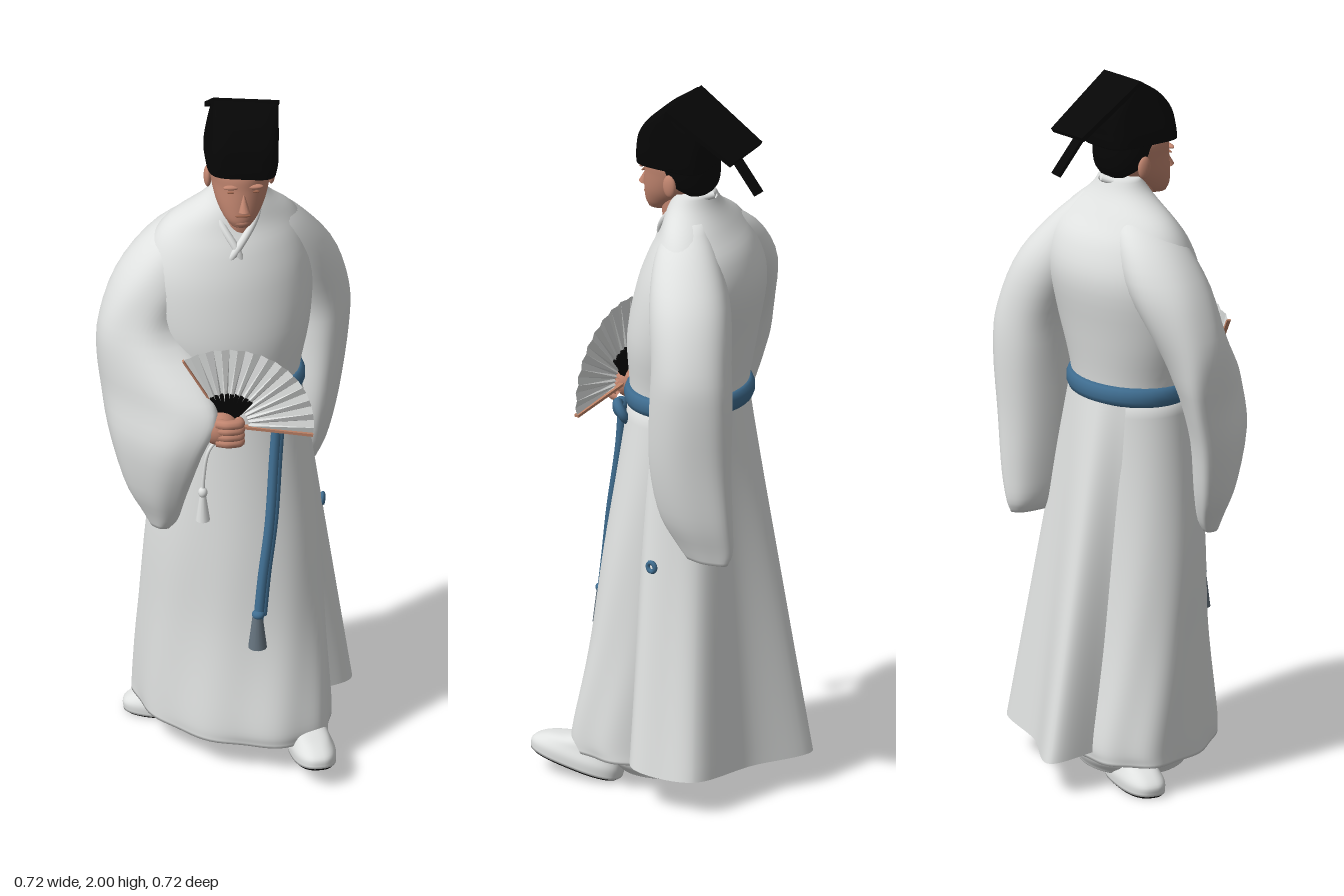
import * as THREE from 'three';

const mat = (name, color, side = THREE.FrontSide) => {
  const m = new THREE.MeshStandardMaterial({ color, side });
  m.name = name;
  return m;
};

// Grid surface from fn(u, v); wraps in u when closed
function surface(fn, nu, nv, closed = false) {
  const pos = [], idx = [], cols = closed ? nu : nu + 1;
  for (let j = 0; j <= nv; j++)
    for (let i = 0; i < cols; i++) pos.push(...fn(i / nu, j / nv, j));
  for (let j = 0; j < nv; j++)
    for (let i = 0; i < nu; i++) {
      const k = (i + 1) % cols, a = j * cols + i, b = j * cols + k;
      idx.push(a, a + cols, b, b, a + cols, b + cols);
    }
  const g = new THREE.BufferGeometry();
  g.setAttribute('position', new THREE.Float32BufferAttribute(pos, 3));
  g.setIndex(idx);
  g.computeVertexNormals();
  return g;
}

// Capped loft through level sections [y, cx, cz, rx, rz, turn], bottom to top
function loft(sections, { n = 2, ripple = null, nu = 48, nv = 32 } = {}) {
  const c = new THREE.CatmullRomCurve3(sections.map(s => new THREE.Vector3(s[1], s[0], s[2])), false, 'catmullrom');
  const r = new THREE.CatmullRomCurve3(sections.map(s => new THREE.Vector3(s[3], s[4], s[5] || 0)), false, 'catmullrom');
  const pw = x => Math.sign(x) * Math.abs(x) ** (2 / n);
  return surface((u, v, j) => {
    const t = THREE.MathUtils.clamp((j - 1) / (nv - 2), 0, 1), a = u * Math.PI * 2;
    const p = c.getPoint(t), q = r.getPoint(t);
    const k = j === 0 || j === nv ? 0 : 1 + (ripple ? ripple(a, t) : 0);
    const e = pw(Math.cos(a)) * q.x * k, f = pw(Math.sin(a)) * q.y * k;
    const cs = Math.cos(q.z), sn = Math.sin(q.z);
    return [p.x + e * cs - f * sn, p.y, p.z + e * sn + f * cs];
  }, nu, nv, true);
}

const curve = pts => new THREE.CatmullRomCurve3(pts.map(p => new THREE.Vector3(...p)));
const tube = (pts, r, closed = false) => {
  const c = curve(pts);
  c.closed = closed;
  return new THREE.TubeGeometry(c, 40, r, 10, closed);
};

export function createModel() {
  const root = new THREE.Group();
  root.name = 'robedFigure';
  const cloth = mat('whiteCloth', 0xe0e2e1, THREE.DoubleSide);
  const skin = mat('skin', 0xc28670);
  const shade = mat('lipsAndBrows', 0xa0674f);
  const black = mat('black', 0x060606, THREE.DoubleSide);
  const blue = mat('blueSash', 0x3f6d90);
  const slate = mat('slateTassel', 0x66747f);
  const wood = mat('fanWood', 0xc08468);
  const add = (name, geo, m, pos = [0, 0, 0], parent = root) => {
    const mesh = new THREE.Mesh(geo, m);
    mesh.name = name;
    mesh.position.set(...pos);
    parent.add(mesh);
    return mesh;
  };
  const ball = (name, m, pos, s) => add(name, new THREE.SphereGeometry(1, 20, 14), m, pos).scale.set(...s);

  // Robe: torso turned toward the rear shoulder, skirt and underskirt
  add('torso', loft([
    [1.06, .018, -.02, .182, .152], [1.16, .015, -.022, .19, .158, -.05], [1.3, .01, -.03, .225, .173, -.15],
    [1.45, .005, -.055, .243, .172, -.24], [1.55, .008, -.062, .225, .142, -.26], [1.62, .012, -.058, .18, .1, -.2],
    [1.68, .028, -.05, .1, .07, -.1], [1.725, .032, -.05, .066, .05]]), cloth);
  add('skirt', loft([
    [.08, .015, .012, .3, .2, .69], [.15, .015, .012, .3, .2, .69], [.4, .015, .005, .268, .187, .5],
    [.7, .015, 0, .237, .177, .3], [1.12, .02, -.02, .185, .155, 0]],
    { nu: 96, ripple: (a, t) => (1 - t) ** 1.5 * .022 * (Math.cos(9 * a) + .5 * Math.sin(5 * a)) }), cloth);
  add('underskirt', loft([
    [.03, .02, -.02, .2, .15, .5], [.08, .02, -.01, .24, .17, .6], [.2, .02, 0, .25, .17, .6]]), cloth);

  // Flared overlapping back panel with crisp corners
  const top = curve([[.195, 1.11, .01], [.207, 1.11, -.04], [.19, 1.11, -.1], [.145, 1.11, -.145], [.07, 1.11, -.175], [-.05, 1.11, -.175], [-.12, 1.11, -.13]]);
  const hem = curve([[.25, .12, .02], [.345, .11, -.045], [.348, .1, -.14], [.32, .1, -.235], [.11, .09, -.282], [-.088, .09, -.36], [-.11, .11, -.2]]);
  add('backPanel', surface((u, v) => top.getPoint(u).lerp(hem.getPoint(u), v).toArray(), 60, 24), cloth);

  // Wide sleeves: left hangs behind, right drapes from a bent forearm
  add('leftSleeve', loft([
    [.72, .225, -.215, .025, .065], [.76, .222, -.205, .042, .09], [.85, .235, -.185, .062, .115],
    [1, .248, -.175, .08, .125], [1.18, .258, -.183, .095, .122], [1.3, .252, -.18, .102, .115],
    [1.45, .205, -.145, .108, .115], [1.57, .15, -.1, .082, .092], [1.66, .1, -.07, .04, .05]],
    { ripple: (a, t) => .03 * (1 - t) * Math.cos(5 * a) }), cloth);
  add('rightSleeve', loft([
    [.72, -.195, .1, .03, .02, .8], [.76, -.195, .1, .06, .035, .8], [.85, -.21, .105, .105, .055, .8],
    [1, -.212, .115, .16, .07, .8], [1.12, -.198, .1, .195, .078, .75], [1.21, -.215, .06, .175, .09, .7],
    [1.33, -.235, -.005, .122, .105, .5], [1.46, -.185, -.04, .118, .118, .2], [1.57, -.125, -.055, .088, .095, 0],
    [1.65, -.05, -.055, .045, .05, 0]], { ripple: (a, t) => .03 * (1 - t) * Math.cos(6 * a) }), cloth);

  // Crossed collar bands
  add('rightCollar', tube([[.03, 1.72, -.11], [-.035, 1.7, -.05], [-.022, 1.64, .025], [.02, 1.57, .068], [.035, 1.53, .07]], .011), cloth);
  add('leftCollar', tube([[.03, 1.72, -.11], [.098, 1.7, -.05], [.075, 1.64, .018], [.02, 1.57, .07], [-.01, 1.53, .075]], .011), cloth);

  // Neck and head
  add('neck', loft([[1.58, .03, -.01, .05, .052], [1.65, .032, -.004, .052, .052], [1.74, .034, -.01, .055, .06]]), skin);
  add('head', loft([
    [1.656, .032, .064, .03, .032], [1.68, .032, .046, .05, .058], [1.72, .034, .02, .07, .084],
    [1.77, .036, -.003, .082, .104], [1.82, .036, -.008, .086, .104], [1.86, .036, -.01, .06, .07]]), skin);
  add('nose', new THREE.ConeGeometry(.016, .055, 12), skin, [.037, 1.742, .106]).rotation.x = -.25;
  ball('mouth', shade, [.035, 1.697, .101], [.022, .005, .005]);
  ball('chin', skin, [.033, 1.672, .084], [.026, .016, .02]);
  for (const s of [-1, 1]) {
    ball('ear', skin, [.036 + s * .088, 1.757, -.025], [.011, .033, .02]);
    ball('eye', shade, [.036 + s * .032, 1.768, .092], [.014, .004, .004]);
    ball('brow', skin, [.036 + s * .032, 1.784, .092], [.024, .007, .009]);
  }
  add('hair', loft([[1.725, .036, -.07, .05, .03], [1.75, .036, -.052, .077, .063], [1.79, .036, -.037, .09, .083], [1.84, .036, -.022, .092, .092]]), black);

  // Folded cloth hat with a rear flap and ribbon
  const hat = new THREE.Group();
  hat.name = 'hat';
  hat.position.set(.035, 1.8, 0);
  hat.rotation.z = -.1;
  root.add(hat);
  add('hatCrown', loft([
    [.012, 0, -.01, .097, .11], [.045, 0, -.012, .1, .11], [.1, 0, -.017, .096, .104],
    [.15, 0, -.022, .093, .07], [.19, 0, -.024, .09, .012]], { n: 4.5 }), black, [0, 0, 0], hat);
  const flap = add('hatFlap', new THREE.BoxGeometry(.184, .014, .235), black, [.001, .127, -.122], hat);
  const fp = flap.geometry.attributes.position;
  for (let i = 0; i < fp.count; i++) if (fp.getZ(i) < 0) fp.setX(i, fp.getX(i) * .85 - .006);
  flap.rotation.x = -.576;
  add('hatRibbon', new THREE.BoxGeometry(.035, .01, .19), black, [.034, 1.828, -.2]).rotation.x = -.88;

  // Sash, knot, hanging cord and tassel
  const ring = [];
  for (let i = 0; i < 24; i++) {
    const a = i / 24 * Math.PI * 2;
    ring.push([.016 + .187 * Math.cos(a), 0, -.022 + .156 * Math.sin(a)]);
  }
  const sash = add('sash', tube(ring, .016, true), blue, [0, 1.125, 0]);
  sash.scale.y = 1.8;
  const loop = add('sashLoop', new THREE.TorusGeometry(.026, .014, 10, 24), blue, [.155, 1.075, .11]);
  loop.rotation.set(.6, .5, 0);
  ball('sashKnot', blue, [.13, 1.075, .13], [.026, .03, .022]);
  const cord = [[.128, 1.08, .125], [.117, .95, .142], [.1, .75, .182], [.078, .6, .212], [.064, .48, .235]];
  add('sashCord', tube(cord, .014), blue);
  add('sashCordSecond', tube(cord.map(([x, y, z]) => [x + .013, y + .01, z - .01]), .012), blue);
  add('sashTassel', new THREE.CylinderGeometry(.014, .026, .1, 14), slate, [.062, .445, .236]);
  ball('tasselKnot', blue, [.064, .497, .235], [.018, .014, .018]);
  add('sideKnot', new THREE.TorusGeometry(.013, .007, 8, 14), blue, [.27, .685, -.06]).rotation.y = 1.4;

  // Right fist gripping the fan
  add('wrist', tube([[-.15, 1.11, .15], [-.1, 1.1, .185], [-.05, 1.09, .205]], .036), skin);
  ball('palm', skin, [-.04, 1.085, .208], [.052, .05, .042]);
  for (let i = 0; i < 4; i++)
    add('finger', tube([[-.05, 1.112 - i * .019, .232], [-.02, 1.113 - i * .019, .244], [.012, 1.11 - i * .019, .234], [.012, 1.105 - i * .019, .212]], .0145), skin);
  add('thumb', tube([[-.05, 1.11, .185], [-.015, 1.118, .172], [.018, 1.105, .178]], .016), skin);

  // Pleated folding fan
  const fan = new THREE.Group();
  fan.name = 'fan';
  fan.position.set(-.02, 1.09, .203);
  fan.rotation.y = -.07;
  root.add(fan);
  const a0 = -.14, a1 = 2.1, folds = 24;
  const leaf = surface((u, v) => {
    const a = a0 + u * (a1 - a0), r = .06 + .18 * v;
    return [r * Math.cos(a), r * Math.sin(a), Math.round(u * folds) % 2 ? .003 : -.003];
  }, folds, 1).toNonIndexed();
  leaf.computeVertexNormals();
  add('fanLeaf', leaf, cloth, [0, 0, 0], fan);
  const rib = (name, a, len, width, depth, m) => {
    add(name, new THREE.BoxGeometry(len, width, depth), m, [Math.cos(a) * len / 2, Math.sin(a) * len / 2, 0], fan).rotation.z = a;
  };
  for (let i = 0; i < 9; i++) rib('fanRib', .85 + i * .145, .1, .011, .014, black);
  rib('lowerGuard', a0, .24, .008, .014, wood);
  rib('upperGuard', a1, .24, .005, .012, wood);

  // Fan cord and white tassel
  add('fanCord', tube([[-.03, 1.06, .2], [-.07, 1.02, .215], [-.085, .94, .215], [-.088, .88, .215]], .005), cloth);
  add('fanTassel', new THREE.CylinderGeometry(.008, .02, .085, 12), cloth, [-.088, .84, .215]);
  ball('fanTasselKnot', cloth, [-.088, .885, .215], [.013, .016, .013]);

  // Shoes, with the heel at the local origin and the toe along +z
  const shoe = (name, pos, yaw, pitch) => {
    const g = new THREE.Group();
    g.name = name;
    g.position.set(...pos);
    g.rotation.set(pitch, yaw, 0, 'YXZ');
    add('sole', loft([[0, 0, .135, .054, .132], [.007, 0, .135, .056, .135]], { n: 2.6, nv: 6 }), black, [0, 0, 0], g);
    add('shoeUpper', loft([[.006, 0, .135, .06, .139], [.035, 0, .134, .06, .139], [.062, 0, .115, .05, .115],
      [.09, 0, .075, .044, .07], [.14, 0, .055, .04, .048]], { n: 2.6, nv: 20 }), cloth, [0, 0, 0], g);
    root.add(g);
  };
  shoe('leftShoe', [.203, .004, .09], .08, -.2);
  shoe('rightShoe', [-.005, 0, -.085], -1.77, 0);
  return root;
}
